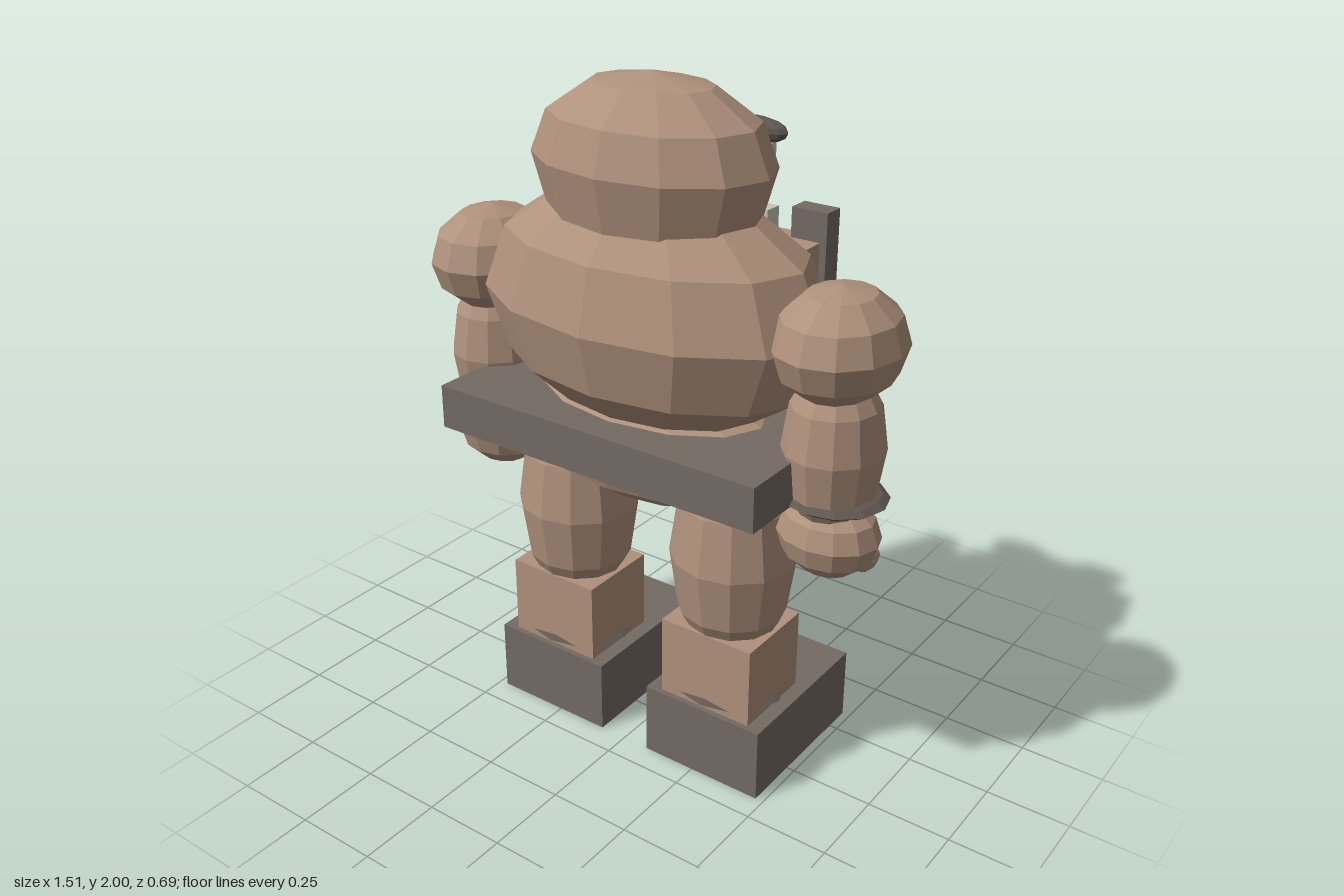
import * as THREE from 'three';

export function createModel() {
  const model = new THREE.Group();
  const make = (name, hex) => {
    const m = new THREE.MeshStandardMaterial({ color: hex, flatShading: true });
    m.name = name;
    return m;
  };
  const skin = make('skin', 0xaf917c);
  const leather = make('leather', 0x746a63);
  const darkTrim = make('dark trim', 0x5f5650);
  const ivory = make('ivory', 0xc6c4b8);

  const add = (name, geometry, material, x, y, z) => {
    const mesh = new THREE.Mesh(geometry, material);
    mesh.name = name;
    mesh.position.set(x, y, z);
    model.add(mesh);
    return mesh;
  };
  // Low-poly ellipsoid given by centre and radii
  const ball = (name, mat, [x, y, z], [rx, ry, rz], seg = 12, rows = 6) =>
    add(name, new THREE.SphereGeometry(1, seg, rows).scale(rx, ry, rz), mat, x, y, z);
  // Box given by its lower and upper corners
  const box = (name, mat, [x0, y0, z0], [x1, y1, z1]) =>
    add(name, new THREE.BoxGeometry(x1 - x0, y1 - y0, z1 - z0), mat,
      (x0 + x1) / 2, (y0 + y1) / 2, (z0 + z1) / 2);

  // Head: domed top with a shallow jaw
  const profile = [[0, 1.56], [0.22, 1.57], [0.31, 1.605], [0.36, 1.77], [0.312, 1.885], [0.18, 1.97], [0, 2]]
    .map(([r, y]) => new THREE.Vector2(r, y));
  const headGeo = new THREE.LatheGeometry(profile, 12).scale(1, 1, 0.69);
  add('head', headGeo, skin, 0, 0, 0.022);

  // Torso and belly
  ball('torso', skin, [0, 1.37, 0.02], [0.54, 0.36, 0.325]);
  ball('belly', skin, [0, 0.985, 0.02], [0.45, 0.185, 0.26]);
  box('chestPanel', skin, [-0.37, 1.0, -0.28], [0.37, 1.545, -0.12]);

  // Belt
  box('belt', leather, [-0.53, 0.96, -0.275], [0.53, 1.09, 0.32]);
  box('beltBuckle', leather, [-0.1, 0.94, -0.35], [0.1, 1.105, -0.27]);

  // Face, on the -z side
  ball('nose', skin, [0, 1.69, -0.268], [0.062, 0.065, 0.06], 10, 6);
  box('mouth', darkTrim, [-0.18, 1.53, -0.285], [0.18, 1.58, -0.2]);

  for (const s of [-1, 1]) {
    const side = s > 0 ? 'left' : 'right';
    const cubes = (name, mat, x0, x1, y0, y1, z0, z1) =>
      box(side + name, mat, [Math.min(s * x0, s * x1), y0, z0], [Math.max(s * x0, s * x1), y1, z1]);

    // Eyes, brows and tusks
    cubes('Eye', ivory, 0.1, 0.2, 1.725, 1.785, -0.265, -0.17);
    ball(side + 'Brow', darkTrim, [s * 0.15, 1.82, -0.232], [0.105, 0.036, 0.042], 12, 8);
    cubes('Tusk', ivory, 0.12, 0.195, 1.48, 1.6, -0.298, -0.24);

    // Strap and belt stud
    cubes('Strap', leather, 0.28, 0.39, 1.05, 1.63, -0.29, -0.225);
    ball(side + 'BeltStud', darkTrim, [s * 0.42, 1.025, -0.28], [0.05, 0.05, 0.03], 10, 6);

    // Arm
    ball(side + 'Shoulder', skin, [s * 0.58, 1.39, 0.018], [0.174, 0.156, 0.2]);
    ball(side + 'Forearm', skin, [s * 0.58, 1.1, 0.018], [0.137, 0.25, 0.145]);
    ball(side + 'WristCuff', darkTrim, [s * 0.585, 0.965, 0.02], [0.155, 0.026, 0.142]);
    ball(side + 'Hand', skin, [s * 0.58, 0.845, 0.02], [0.148, 0.118, 0.122]);
    for (let i = 0; i < 4; i++) {
      const d = -0.09 + i * 0.06;
      const lift = Math.abs(i - 1.5) > 1 ? 0.01 : 0;
      ball(side + 'Finger' + (i + 1), skin, [s * 0.58 + d, 0.76 + lift, -0.035], [0.028, 0.033, 0.055], 8, 6);
    }

    // Leg
    ball(side + 'Thigh', skin, [s * 0.28, 0.68, 0.022], [0.184, 0.34, 0.175]);
    cubes('Shin', skin, 0.13, 0.43, 0.2, 0.47, -0.105, 0.155);
    ball(side + 'AnkleRing', darkTrim, [s * 0.28, 0.245, 0.025], [0.172, 0.022, 0.15]);
    cubes('Foot', leather, 0.085, 0.475, 0, 0.225, -0.33, 0.172);
  }
  return model;
}
